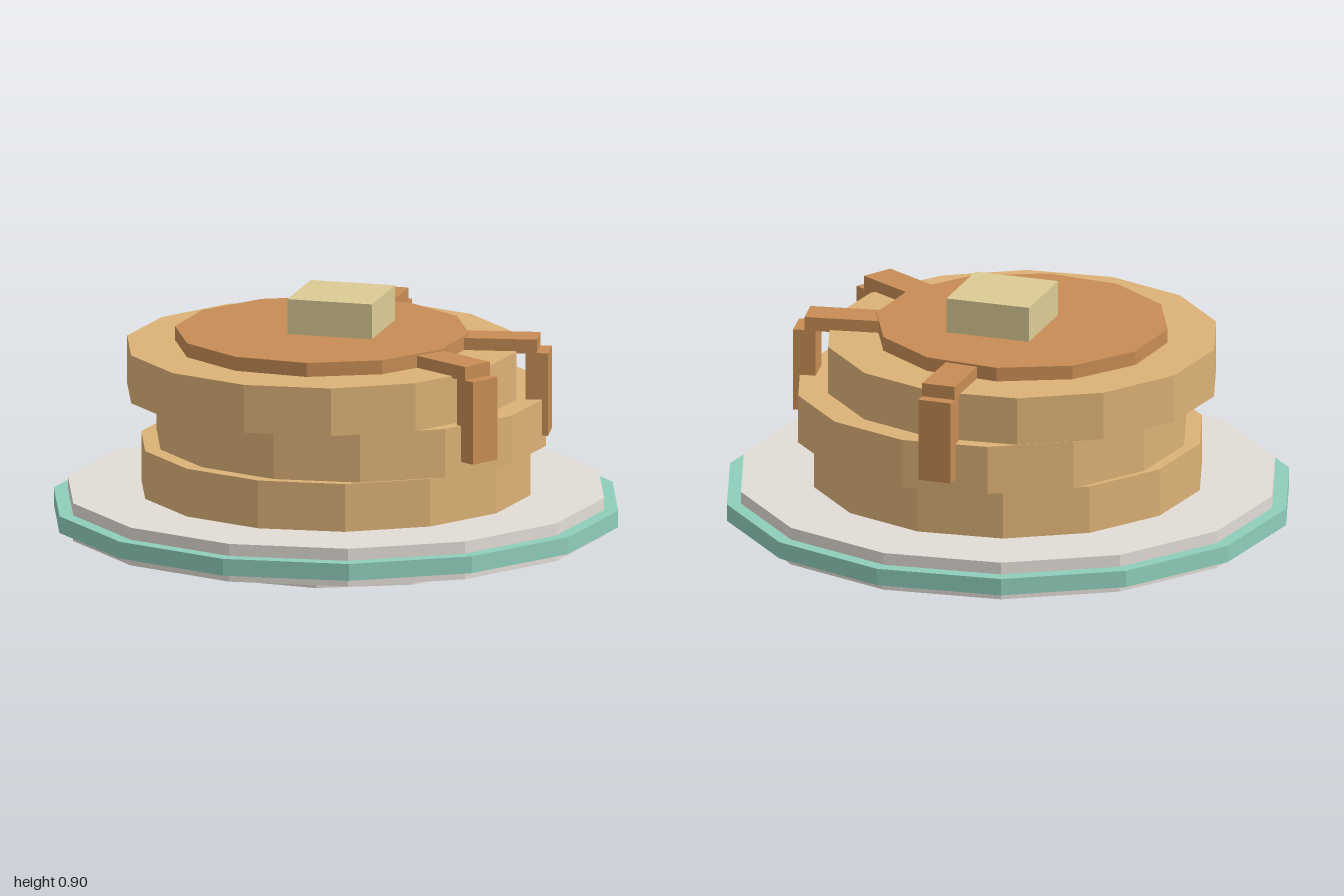
import * as THREE from 'three';

const material = (name, color) => {
  const m = new THREE.MeshStandardMaterial({ color, flatShading: true });
  m.name = name;
  return m;
};

export function createModel() {
  const china = material('warm white china', 0xe2dcd6);
  const teal = material('teal glaze', 0x8fcdbb);
  const batter = material('golden batter', 0xdcb176);
  const syrup = material('amber syrup', 0xc68c54);
  const butter = material('pale butter', 0xdccb94);

  const model = new THREE.Group();
  model.name = 'pancakeStack';

  const add = (parent, name, geometry, mat, x, y, z) => {
    const mesh = new THREE.Mesh(geometry, mat);
    mesh.name = name;
    mesh.position.set(x, y, z);
    parent.add(mesh);
    return mesh;
  };
  // Faceted disc between two heights
  const disc = (name, mat, radius, sides, y0, y1, x = 0, z = 0) =>
    add(model, name, new THREE.CylinderGeometry(radius, radius, y1 - y0, sides), mat, x, (y0 + y1) / 2, z);

  // Plate
  disc('plateFoot', china, 0.655, 12, 0, 0.075);
  disc('plateBody', china, 0.95, 14, 0.075, 0.21);
  disc('plateRim', teal, 1, 14, 0.107, 0.167);

  // Unevenly stacked pancakes
  disc('bottomPancake', batter, 0.69, 14, 0.21, 0.381);
  disc('middlePancake', batter, 0.69, 14, 0.381, 0.554, 0.05, 0.03);
  disc('topPancake', batter, 0.69, 14, 0.554, 0.725, -0.035, -0.035);

  // Syrup pool and the drips running over the edge
  disc('syrupPool', syrup, 0.515, 12, 0.725, 0.775, -0.035, -0.035);
  for (const angle of [-0.175, 0.524, 1.92]) {
    const drip = new THREE.Group();
    drip.name = 'syrupDrip';
    drip.rotation.y = angle;
    add(drip, 'dripTop', new THREE.BoxGeometry(0.12, 0.05, 0.31), syrup, 0, 0.743, 0.555);
    add(drip, 'dripFall', new THREE.BoxGeometry(0.12, 0.295, 0.08), syrup, 0, 0.5725, 0.71);
    model.add(drip);
  }

  // Butter pat
  add(model, 'butterPat', new THREE.BoxGeometry(0.305, 0.125, 0.305), butter, 0.035, 0.8375, -0.003).rotation.y = 0.36;

  return model;
}
